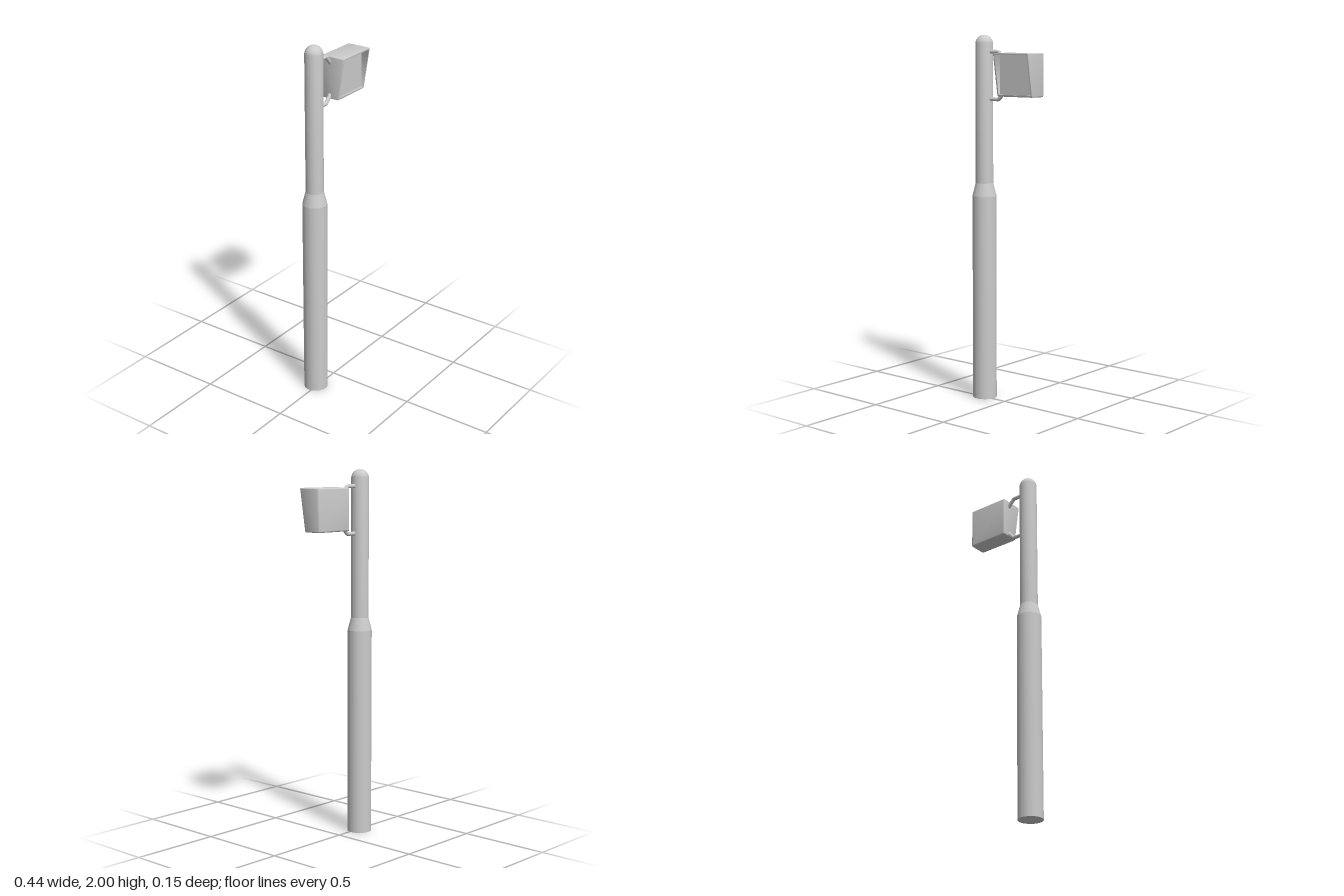
import * as THREE from 'three';
import { toCreasedNormals } from 'three/addons/utils/BufferGeometryUtils.js';

const POLE_X = -0.153, POLE_Z = -0.012;
const BOX = { x0: -0.018, x1: 0.219, y0: 1.675, y1: 1.905, back: -0.06 };
const material = new THREE.MeshStandardMaterial({ color: 0xcccccc, roughness: 0.7 });

function addMesh(parent, name, geometry) {
  const mesh = new THREE.Mesh(geometry, material);
  mesh.name = name;
  parent.add(mesh);
  return mesh;
}

// Stepped pole with a domed tip
function poleGeometry() {
  const r = 0.048;
  const profile = [[0, 0], [0.066, 0], [0.066, 1.13], [r, 1.2]];
  for (let i = 0; i <= 12; i++) {
    const a = (i / 12) * Math.PI / 2;
    profile.push([i === 12 ? 0 : r * Math.cos(a), 2 - r + r * Math.sin(a)]);
  }
  const lathe = new THREE.LatheGeometry(profile.map(p => new THREE.Vector2(...p)), 48);
  return toCreasedNormals(lathe, 0.21);
}

// Rounded rectangle loop inset from the housing outline; zAt gives depth by height
function housingLoop(inset, radius, zAt) {
  const points = [];
  const { x0, x1, y0, y1 } = BOX;
  const corners = [[x1, y0, -1, 1], [x1, y1, -1, -1], [x0, y1, 1, -1], [x0, y0, 1, 1]];
  corners.forEach(([x, y, sx, sy], c) => {
    for (let i = 0; i <= 4; i++) {
      const a = (c - 1 + i / 4) * Math.PI / 2;
      const px = x + sx * (inset + radius) + radius * Math.cos(a);
      const py = y + sy * (inset + radius) + radius * Math.sin(a);
      points.push([px, py, zAt(py)]);
    }
  });
  return points;
}

// Wedge housing: loops run from the back, round the rim and into the recess
function housingGeometry() {
  const frontZ = y => 0.04 + 0.037 * (y - BOX.y0) / (BOX.y1 - BOX.y0);
  const floorZ = () => 0.03;
  const bevel = 0.008, rim = 0.004;
  const loops = [];
  for (let i = 0; i <= 4; i++) {
    const a = (i / 4) * Math.PI / 2;
    loops.push(housingLoop(bevel * (1 - Math.sin(a)), 0.006, () => BOX.back + bevel * (1 - Math.cos(a))));
  }
  for (let i = 0; i <= 4; i++) {
    const a = (i / 4) * Math.PI / 2;
    loops.push(housingLoop(rim * (1 - Math.cos(a)), 0.006, y => frontZ(y) - rim * (1 - Math.sin(a))));
  }
  loops.push(housingLoop(0.01, 0.002, frontZ));
  loops.push(housingLoop(0.01, 0.002, floorZ));

  const n = loops[0].length, positions = loops.flat(2), index = [];
  for (let l = 0; l < loops.length - 1; l++) {
    for (let i = 0; i < n; i++) {
      const a = l * n + i, b = l * n + (i + 1) % n;
      index.push(a, b, b + n, a, b + n, a + n);
    }
  }
  // Flat back and recessed panel
  const last = (loops.length - 1) * n;
  for (let i = 1; i < n - 1; i++) {
    index.push(0, i + 1, i, last, last + i, last + i + 1);
  }
  const geometry = new THREE.BufferGeometry();
  geometry.setAttribute('position', new THREE.Float32BufferAttribute(positions, 3));
  geometry.setIndex(index);
  return toCreasedNormals(geometry, 0.6);
}

// Bent rod from the pole to the side of the housing
function bracketGeometry(y, endY) {
  const start = new THREE.Vector3(POLE_X + 0.03, y, POLE_Z);
  const bend = new THREE.Vector3(-0.05, y, POLE_Z);
  const end = new THREE.Vector3(-0.01, endY, POLE_Z);
  const before = bend.clone().lerp(start, 0.1);
  const after = bend.clone().lerp(end, 0.15);
  const path = new THREE.CurvePath();
  path.add(new THREE.LineCurve3(start, before));
  path.add(new THREE.QuadraticBezierCurve3(before, bend, after));
  path.add(new THREE.LineCurve3(after, end));
  return new THREE.TubeGeometry(path, 40, 0.0105, 16);
}

export function createModel() {
  const model = new THREE.Group();
  model.name = 'poleWithSideLamp';
  addMesh(model, 'pole', poleGeometry()).position.set(POLE_X, 0, POLE_Z);
  addMesh(model, 'lampHousing', housingGeometry());
  addMesh(model, 'upperBracket', bracketGeometry(1.91, 1.866));
  addMesh(model, 'lowerBracket', bracketGeometry(1.657, 1.7));
  return model;
}
